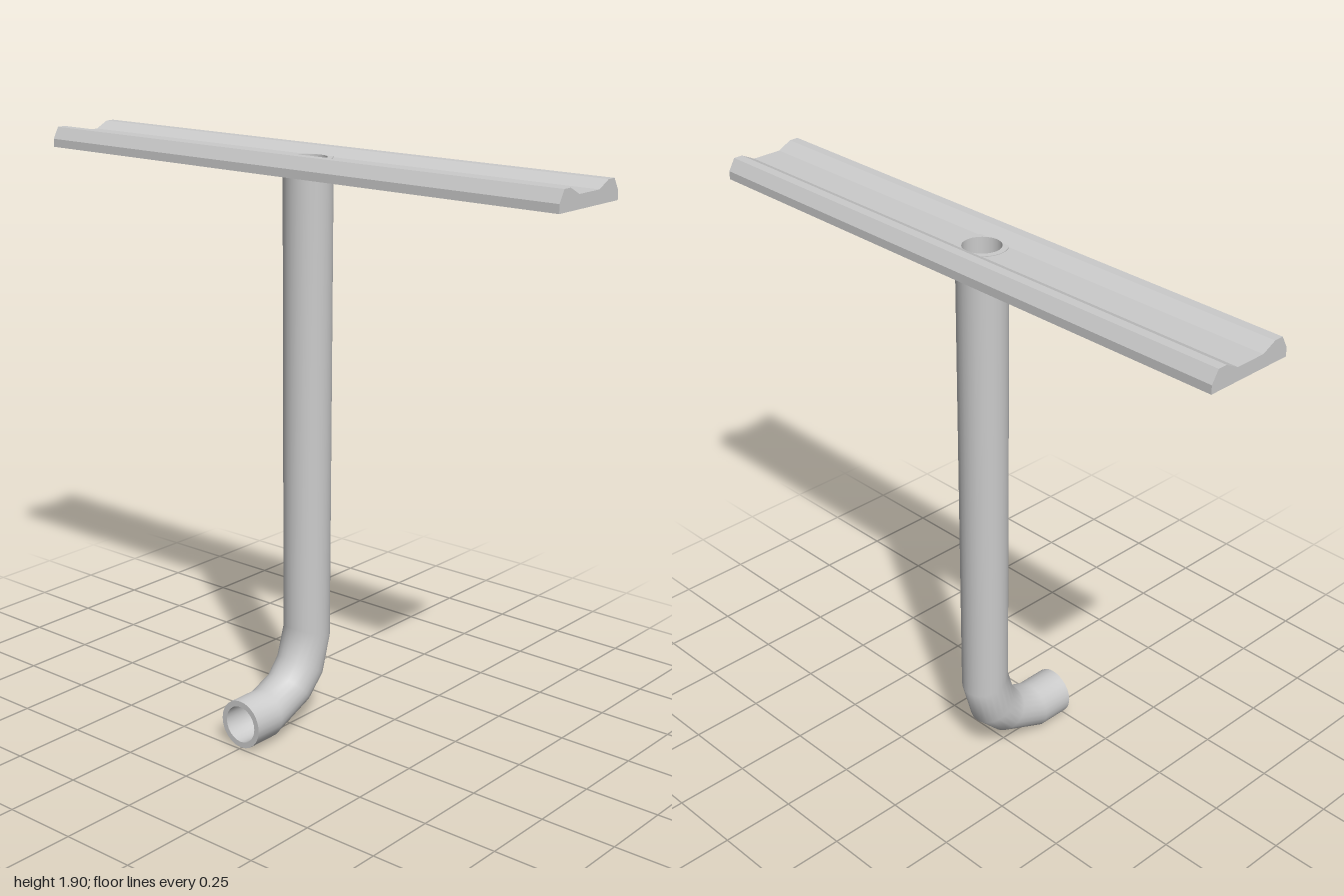
import * as THREE from 'three';

const PIPE_X = -0.004, PIPE_Z = -0.091, R = 0.079, BORE = 0.06, SEG = 24;

// Gutter cross-section as [z, y], from the front bottom edge over the top to the back
const PROFILE = [
  [0.056, 1.835], [0.056, 1.862], [0.035, 1.9], [0.004, 1.9], [-0.042, 1.877],
  [-0.144, 1.877], [-0.19, 1.9], [-0.221, 1.9], [-0.244, 1.862], [-0.244, 1.835],
];

// Pipe rings as [inner z, inner y, outer z, outer y] pairs across the bend, from outlet to top
const RINGS = [
  [0.24, 0.163, 0.24, 0], [0.125, 0.163, 0.128, 0], [0.055, 0.19, -0.05, 0.075],
  [0.015, 0.24, -0.127, 0.15], [-0.015, 0.335, -0.166, 0.285],
  [PIPE_Z + R, 1.879, PIPE_Z - R, 1.879],
];

function makeGeometry(positions, indices) {
  const g = new THREE.BufferGeometry();
  g.setAttribute('position', new THREE.Float32BufferAttribute(positions, 3));
  g.setIndex(indices);
  g.computeVertexNormals();
  return g;
}

// Skin over a row of pipe rings; scale shrinks a ring to the bore
function skin(rings) {
  const pos = [], idx = [];
  rings.forEach(({ ring: [az, ay, bz, by], scale }) => {
    for (let i = 0; i < SEG; i++) {
      const a = (i / SEG) * Math.PI * 2, c = (Math.cos(a) * scale) / 2;
      pos.push(PIPE_X + Math.sin(a) * R * scale, (ay + by) / 2 + (ay - by) * c, (az + bz) / 2 + (az - bz) * c);
    }
  });
  for (let j = 0; j < rings.length - 1; j++) {
    for (let i = 0; i < SEG; i++) {
      const n = (i + 1) % SEG, lo = j * SEG, hi = lo + SEG;
      idx.push(lo + i, lo + n, hi + n, lo + i, hi + n, hi + i);
    }
  }
  return makeGeometry(pos, idx);
}

// Closed profile with extra points wherever a row meets the drain hole
function gutterRows() {
  const rows = [];
  const cuts = Array.from({ length: SEG / 2 + 1 }, (_, k) => PIPE_Z + BORE * Math.cos((k * 2 * Math.PI) / SEG));
  PROFILE.forEach((p, i) => {
    const q = PROFILE[(i + 1) % PROFILE.length], dz = q[0] - p[0];
    rows.push(p);
    if (Math.abs(dz) < 1e-6) return;
    cuts.map((z) => (z - p[0]) / dz).filter((t) => t > 1e-4 && t < 1 - 1e-4).sort((a, b) => a - b)
      .forEach((t) => rows.push([p[0] + dz * t, p[1] + (q[1] - p[1]) * t]));
  });
  rows.push(PROFILE[0]);
  return rows;
}

// Half of the gutter, running from the drain hole to one end
function gutterHalf(side, rows) {
  const pos = [], idx = [];
  rows.forEach(([z, y]) => {
    const w = Math.sqrt(Math.max(0, BORE * BORE - (z - PIPE_Z) ** 2));
    pos.push(PIPE_X + side * w, y, z, side, y, z);
  });
  for (let j = 0; j < rows.length - 1; j++) {
    const a = j * 2, b = a + 1, c = a + 3, d = a + 2;
    if (side > 0) idx.push(a, b, c, a, c, d);
    else idx.push(a, c, b, a, d, c);
  }
  return makeGeometry(pos, idx);
}

function gutterEnd(side) {
  const shape = new THREE.Shape(PROFILE.map(([z, y]) => new THREE.Vector2(-side * z, y)));
  return new THREE.ShapeGeometry(shape).rotateY((side * Math.PI) / 2).translate(side, 0, 0);
}

export function createModel() {
  const model = new THREE.Group();
  model.name = 'gutterWithDownpipe';
  const flat = new THREE.MeshStandardMaterial({ color: 0xcccccc, flatShading: true, side: THREE.DoubleSide });
  const smooth = new THREE.MeshStandardMaterial({ color: 0xcccccc, side: THREE.DoubleSide });
  const add = (parent, name, geometry, material) => {
    const mesh = new THREE.Mesh(geometry, material);
    mesh.name = name;
    parent.add(mesh);
  };

  // Gutter: two halves meeting at the drain hole, with closed ends
  const gutter = new THREE.Group();
  gutter.name = 'gutter';
  const rows = gutterRows();
  for (const [side, label] of [[1, 'left'], [-1, 'right']]) {
    add(gutter, label + 'Channel', gutterHalf(side, rows), flat);
    add(gutter, label + 'End', gutterEnd(side), flat);
  }

  // Downpipe: outer wall, bore and the two rims
  const pipe = new THREE.Group();
  pipe.name = 'downpipe';
  const outer = RINGS.map((ring) => ({ ring, scale: 1 }));
  const inner = RINGS.map((ring) => ({ ring, scale: BORE / R })).reverse();
  add(pipe, 'outerWall', skin(outer), smooth);
  add(pipe, 'bore', skin(inner), smooth);
  add(pipe, 'topRim', skin([outer[outer.length - 1], inner[0]]), flat);
  add(pipe, 'outletRim', skin([inner[inner.length - 1], outer[0]]), flat);

  model.add(gutter, pipe);
  return model;
}
